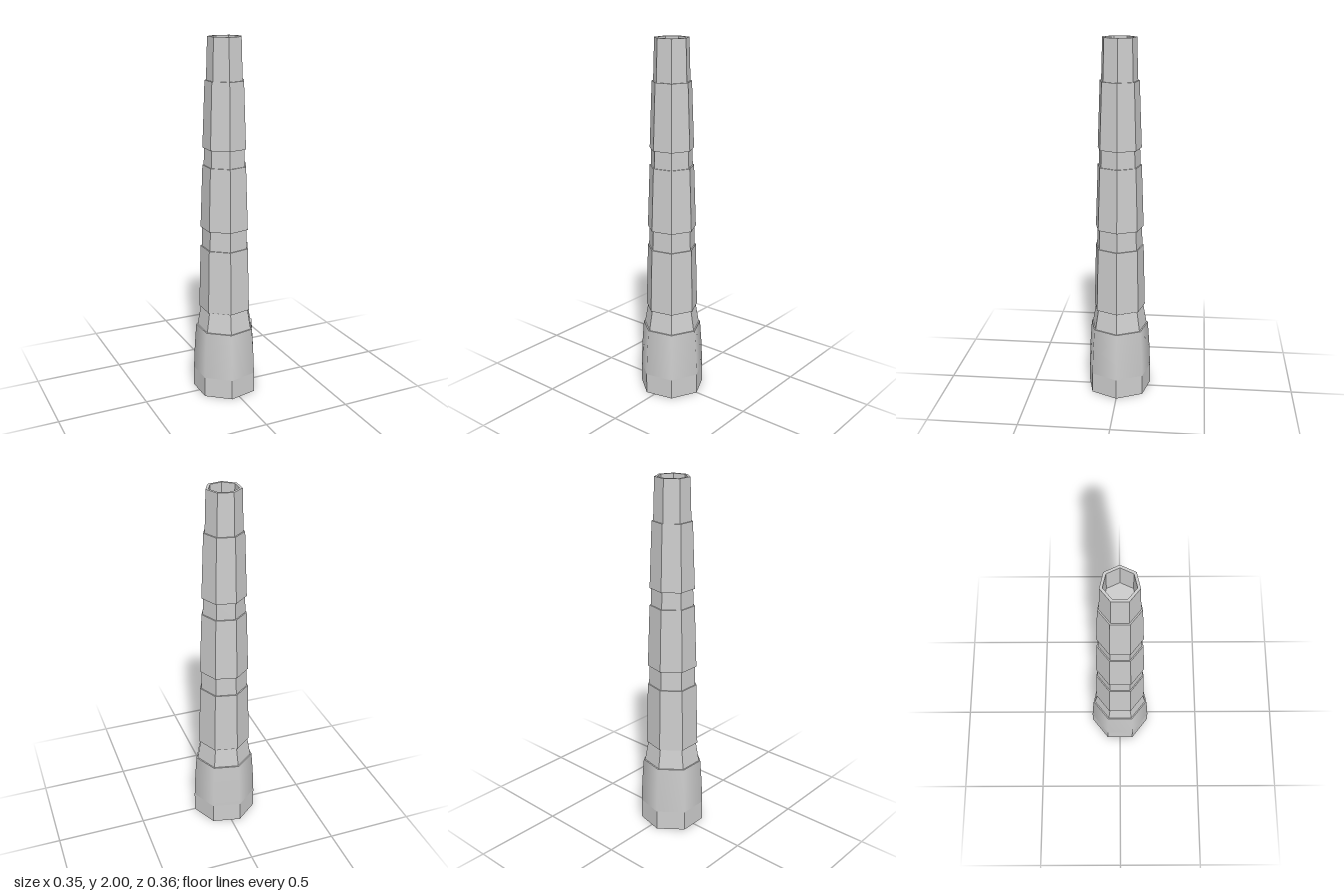
import * as THREE from 'three';

const SIDES = 7;
const material = new THREE.MeshStandardMaterial({ color: 0xcccccc });
const flatMaterial = new THREE.MeshStandardMaterial({ color: 0xcccccc, flatShading: true });

// Seven-sided ring of faces swept from a [radius, height] profile, one corner on +x
function ring(name, profile, smooth = false) {
  const points = profile.map(([r, y]) => new THREE.Vector2(r, y));
  let geometry = new THREE.LatheGeometry(points, SIDES, Math.PI / 2);
  if (!smooth) {
    geometry = geometry.toNonIndexed();
    geometry.computeVertexNormals();
  }
  const mesh = new THREE.Mesh(geometry, smooth ? material : flatMaterial);
  mesh.name = name;
  return mesh;
}

export function createModel() {
  const tower = new THREE.Group();
  tower.name = 'tower';

  // Base: closed straight plinth, then a softly shaded collar
  tower.add(ring('plinth', [[0, 0], [0.184, 0], [0.183, 0.115]]));
  tower.add(ring('collar', [[0.183, 0.115], [0.177, 0.25], [0.167, 0.385]], true));

  // Ledge and tapering foot of the shaft
  tower.add(ring('shaftFoot', [[0.167, 0.385], [0.159, 0.385], [0.139, 0.5]]));

  // Overlapping sleeves, each with a narrower neck above it
  const sleeves = [
    { y0: 0.5, y1: 0.86, inner: 0.139, r0: 0.148, r1: 0.138, neck: 0.131, neckTop: 0.128, y2: 0.97 },
    { y0: 0.97, y1: 1.32, inner: 0.128, r0: 0.137, r1: 0.124, neck: 0.117, neckTop: 0.114, y2: 1.415 },
    { y0: 1.415, y1: 1.775, inner: 0.114, r0: 0.123, r1: 0.109, neck: 0.101, neckTop: 0.094, y2: 2 },
  ];
  sleeves.forEach((s, i) => {
    tower.add(ring(`sleeve${i + 1}`, [[s.inner, s.y0], [s.r0, s.y0], [s.r1, s.y1], [s.neck, s.y1]]));
    tower.add(ring(`neck${i + 1}`, [[s.neck, s.y1], [s.neckTop, s.y2]]));
  });

  // Rim and recessed mouth
  tower.add(ring('mouth', [[0.094, 2], [0.079, 2], [0.079, 1.85], [0, 1.85]]));

  // A heptagon is lopsided in x, so shift it to centre its bounds
  tower.children.forEach((part) => { part.position.x = -0.009; });

  const model = new THREE.Group();
  model.name = 'model';
  model.add(tower);
  return model;
}
